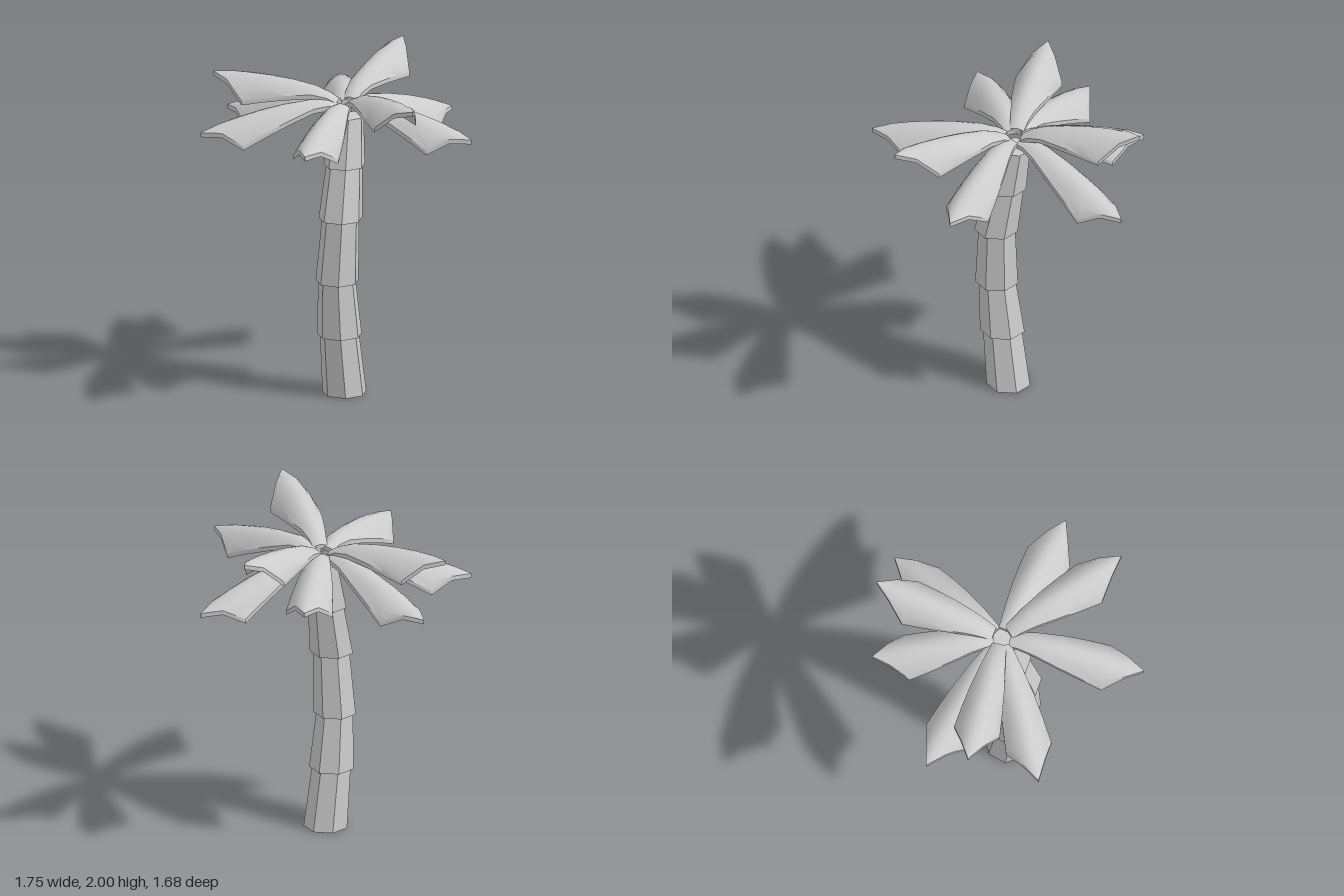
import * as THREE from 'three';
import { toCreasedNormals } from 'three/addons/utils/BufferGeometryUtils.js';

const material = new THREE.MeshStandardMaterial({ color: 0xcccccc });
const trunkMaterial = new THREE.MeshStandardMaterial({ color: 0xcccccc, flatShading: true });

// Skin a closed surface over rings of [x, y, z] points, with both ends capped.
function loft(rings) {
  const n = rings[0].length, index = [];
  const last = (rings.length - 1) * n;
  for (let i = 0; i < rings.length - 1; i++) {
    for (let j = 0; j < n; j++) {
      const a = i * n + j, b = i * n + (j + 1) % n;
      index.push(b, a, a + n, b, a + n, b + n);
    }
  }
  for (let j = 0; j < Math.floor(n / 2); j++) {
    const k = n - 1 - j;
    for (const [p, q, r] of [[j, j + 1, k], [j + 1, k - 1, k]]) {
      if (p === q || q === r || p === r) continue;
      index.push(p, q, r, last + p, last + r, last + q);
    }
  }
  const geometry = new THREE.BufferGeometry();
  geometry.setAttribute('position', new THREE.Float32BufferAttribute(rings.flat(2), 3));
  geometry.setIndex(index);
  return geometry;
}

// Seven-sided trunk of overlapping tapered sections: [y, centre x, centre z, radius]
function trunkGeometry() {
  const rows = [
    [0, 0.008, 0.035, 0.135], [0.385, 0.002, 0.08, 0.12],
    [0.375, 0.002, 0.08, 0.138], [0.735, 0.007, 0.113, 0.114],
    [0.72, 0.01, 0.115, 0.132], [1.125, 0.028, 0.103, 0.114],
    [1.115, 0.03, 0.108, 0.134], [1.45, 0.018, 0.047, 0.111],
    [1.435, 0.018, 0.05, 0.127], [1.73, 0.006, -0.002, 0.1],
  ];
  return loft(rows.map(([y, cx, cz, r]) => Array.from({ length: 7 }, (_, j) => {
    const a = 0.03 + j * Math.PI * 2 / 7;
    return [cx + r * Math.cos(a), y, cz + r * Math.sin(a)];
  })));
}

// Arched, pointed leaf along +x; slope tilts it up or down.
function frondGeometry(length, slope) {
  const across = 8, thickness = 0.028;
  const stations = [[0.06, 0.045], [0.13, 0.054], [0.24, 0.073], [0.42, 0.104],
    [0.58, 0.125], [0.735, 0.141], [0.87, 0.07], [1, 0.001]];
  const rings = stations.map(([t, halfWidth]) => {
    const x = t * length;
    const ridge = 1.845 + slope * x - 0.25 * x * x - 0.05 * Math.max(0, 1 - t / 0.18);
    const top = [], bottom = [];
    for (let j = 0; j <= across; j++) {
      const z = halfWidth * (1 - 2 * j / across);
      const y = ridge - 7 * z * z;
      top.push([x, y, z]);
      bottom.unshift([x, y - thickness, z]);
    }
    return [...top, ...bottom];
  });
  return toCreasedNormals(loft(rings).toNonIndexed(), 0.6);
}

export function createModel() {
  const palm = new THREE.Group();
  palm.name = 'palmTree';

  const trunk = new THREE.Mesh(trunkGeometry(), trunkMaterial);
  trunk.geometry.computeVertexNormals();
  trunk.name = 'trunk';
  palm.add(trunk);

  // Fronds: [tip x, tip z, slope]
  const fronds = [
    [0.87, -0.05, 0.07], [0.75, 0.40, 0.38], [0.26, 0.835, 0.09],
    [-0.64, 0.62, 0.026], [-0.81, 0.23, 0.31], [-0.88, -0.02, -0.012],
    [-0.47, -0.625, 0.07], [-0.125, -0.79, 0.4], [0.19, -0.845, -0.06],
  ];
  const crown = new THREE.Group();
  crown.name = 'crown';
  fronds.forEach(([x, z, slope], i) => {
    const frond = new THREE.Mesh(frondGeometry(Math.hypot(x, z), slope), material);
    frond.rotation.y = Math.atan2(-z, x);
    frond.name = `frond${i + 1}`;
    crown.add(frond);
  });
  palm.add(crown);
  return palm;
}
